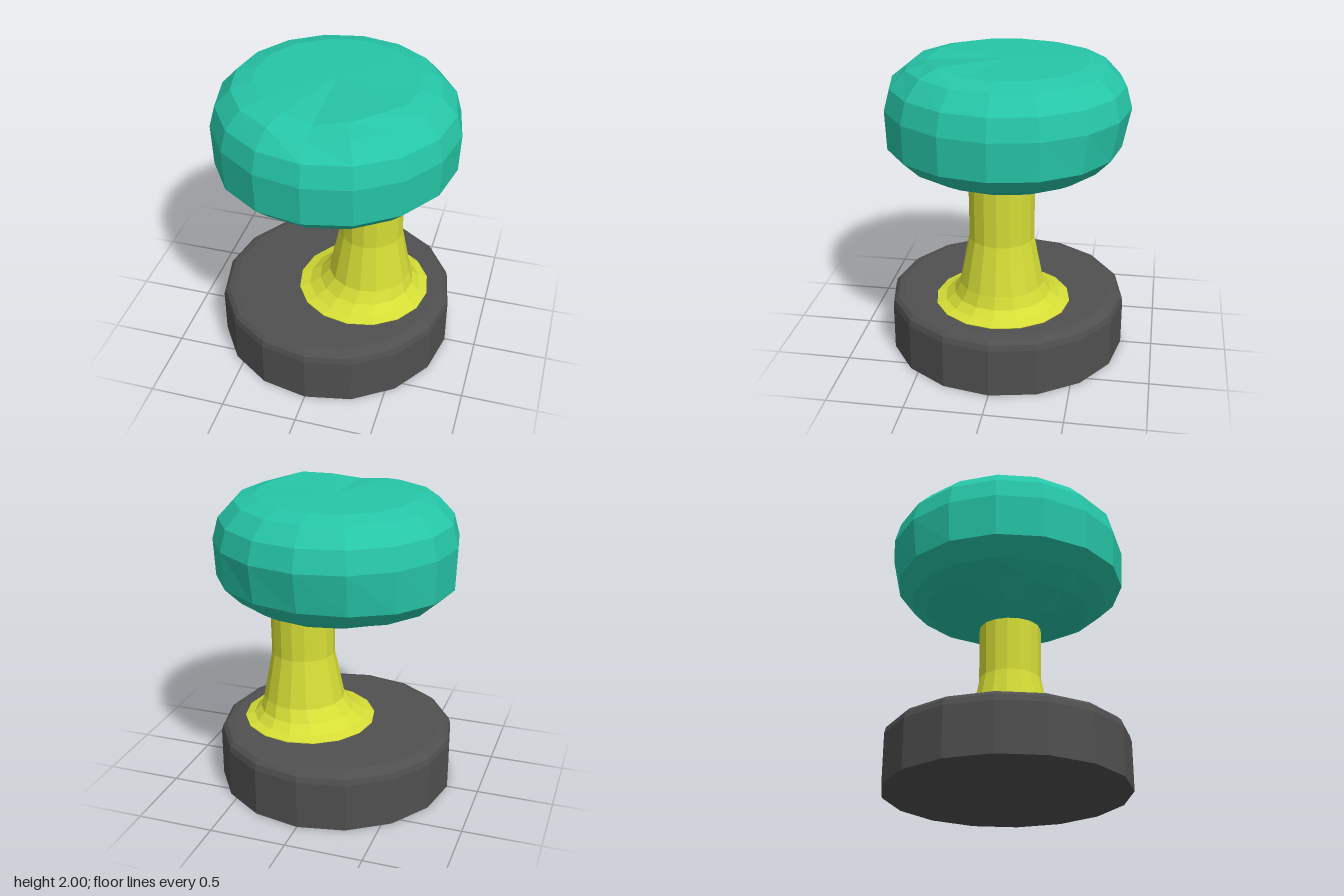
import * as THREE from 'three';

const SIDES = 16;

// Faceted turned part; move(v) may nudge each vertex
function turned(name, profile, color, move) {
  const pts = profile.map(([r, y]) => new THREE.Vector2(r, y));
  const lathe = new THREE.LatheGeometry(pts, SIDES);
  const pos = lathe.attributes.position;
  const v = new THREE.Vector3();
  if (move) {
    for (let i = 0; i < pos.count; i++) {
      move(v.fromBufferAttribute(pos, i));
      pos.setXYZ(i, v.x, v.y, v.z);
    }
  }
  const geometry = lathe.toNonIndexed();
  geometry.computeVertexNormals();
  const material = new THREE.MeshStandardMaterial({ color, flatShading: true });
  const mesh = new THREE.Mesh(geometry, material);
  mesh.name = name;
  return mesh;
}

// Smooth local bump around (cx, cz)
const bump = (v, cx, cz, width, amount) =>
  amount * Math.exp(-((v.x - cx) ** 2 + (v.z - cz) ** 2) / (width * width));

// Uneven surface of the cushion-like cap
function dentCap(v) {
  const { x, z } = v;
  if (v.y < 1.3) {
    // sagging lump under the front right
    v.y += bump({ x, z }, -0.29, 0.2, 0.2, -0.08) + bump({ x, z }, -0.45, 0.35, 0.25, -0.03);
  } else if (v.y < 1.5) {
    // lower rim tilts and tucks in at the back
    v.y += 0.02 * x;
    if (z < 0) v.z *= 1 + 0.07 * z;
  } else if (v.y > 1.9) {
    // crown dips at the front and rises beside it
    v.y += bump({ x, z }, 0.37, 0.37, 0.14, 0.025) + bump({ x, z }, 0, 0.65, 0.16, -0.03)
      + bump({ x, z }, 0, 0.52, 0.12, -0.01);
  }
}

export function createModel() {
  const model = new THREE.Group();
  model.name = 'pedestalKnob';

  // Round base with a softened top edge
  model.add(turned('base', [
    [0, 0], [0.79, 0], [0.79, 0.32], [0.78, 0.36], [0.755, 0.385], [0.71, 0.395], [0, 0.395],
  ], 0x505050));

  // Off-centre flared stem, leaning slightly outward
  const stemAxis = (y) => (y < 0.55 ? 0.195 + 0.27 * (y - 0.4) : 0.235 + 0.01 * (y - 0.55));
  model.add(turned('stem', [
    [0.445, 0.39], [0.445, 0.4], [0.38, 0.42], [0.32, 0.47], [0.275, 0.55], [0.212, 0.87], [0.215, 1.35],
  ], 0xd6de36, (v) => { v.x += stemAxis(v.y); }));

  // Plump cap
  model.add(turned('cap', [
    [0, 1.25], [0.2, 1.25], [0.36, 1.245], [0.55, 1.275], [0.67, 1.325], [0.78, 1.43],
    [0.79, 1.69], [0.752, 1.83], [0.65, 1.94], [0.52, 1.975], [0, 1.98],
  ], 0x26c6a8, dentCap));

  return model;
}
